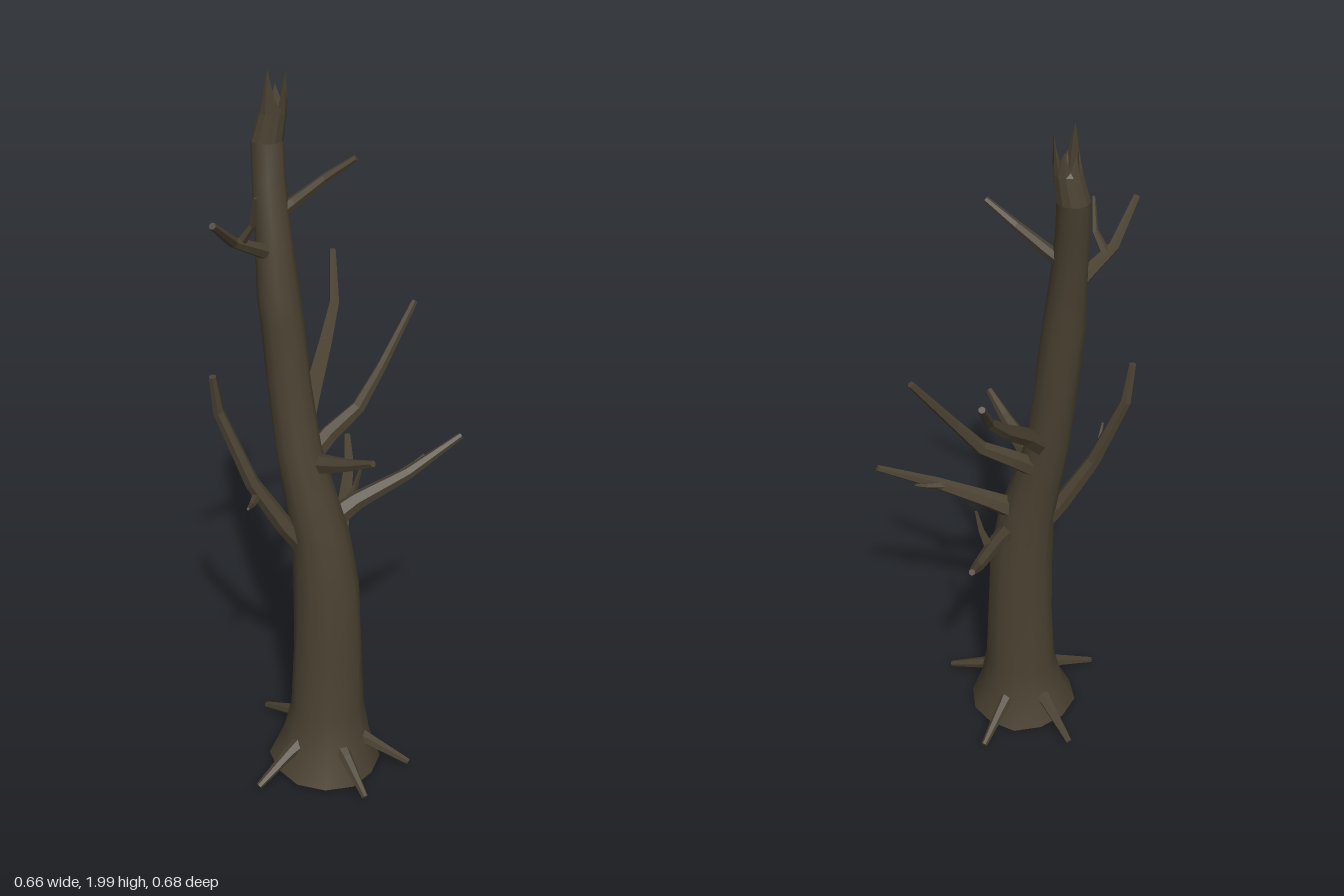
import * as THREE from 'three';

const V = (x, y, z) => new THREE.Vector3(x, y, z);

// Skin a list of equal-sized rings, with optional end caps
function loft(rings, { flat = false, bottom = true, top = true } = {}) {
  const n = rings[0].length, pos = [], idx = [];
  rings.forEach(r => r.forEach(p => pos.push(p.x, p.y, p.z)));
  for (let r = 0; r < rings.length - 1; r++) {
    for (let i = 0; i < n; i++) {
      const j = (i + 1) % n, a = r * n + i, b = r * n + j;
      idx.push(a, b, b + n, a, b + n, a + n);
    }
  }
  const cap = (ring, flip) => {
    const start = pos.length / 3, c = V(0, 0, 0);
    ring.forEach(p => { pos.push(p.x, p.y, p.z); c.addScaledVector(p, 1 / n); });
    pos.push(c.x, c.y, c.z);
    for (let i = 0; i < n; i++) {
      const a = start + i, b = start + (i + 1) % n;
      idx.push(start + n, flip ? b : a, flip ? a : b);
    }
  };
  if (bottom) cap(rings[0], true);
  if (top) cap(rings[rings.length - 1], false);
  let g = new THREE.BufferGeometry();
  g.setAttribute('position', new THREE.Float32BufferAttribute(pos, 3));
  g.setIndex(idx);
  if (flat) g = g.toNonIndexed();
  g.computeVertexNormals();
  return g;
}

// Tapered six-sided limb through a few points
function limb(points, r0, r1, sides = 6) {
  const p = points.map(a => V(...a)), last = p.length - 1;
  const dir = p[last].clone().sub(p[0]).normalize();
  const base = new THREE.Quaternion().setFromUnitVectors(V(0, 1, 0), dir);
  const rings = p.map((c, k) => {
    const t = p[Math.min(k + 1, last)].clone().sub(p[Math.max(k - 1, 0)]).normalize();
    const q = new THREE.Quaternion().setFromUnitVectors(dir, t).multiply(base);
    const r = r0 + (r1 - r0) * k / last;
    return Array.from({ length: sides }, (_, i) => {
      const a = i / sides * Math.PI * 2;
      return V(Math.sin(a) * r, 0, Math.cos(a) * r).applyQuaternion(q).add(c);
    });
  });
  return loft(rings, { flat: true });
}

export function createModel() {
  const tree = new THREE.Group();
  tree.name = 'deadTree';
  const bark = new THREE.MeshStandardMaterial({ color: 0x4a4131 });
  bark.name = 'bark';
  const add = (name, geo) => {
    const m = new THREE.Mesh(geo, bark);
    m.name = name;
    tree.add(m);
  };

  // Trunk: leaning, slightly lumpy sections [centre x, y, centre z, radius]
  const SIDES = 12;
  const ring = (x, y, z, r, height = () => 0, wobble = 0) =>
    Array.from({ length: SIDES }, (_, i) => {
      const a = i / SIDES * Math.PI * 2;
      const rr = r * (1 + wobble * Math.sin(i * 2.3 + y * 9));
      return V(x + Math.sin(a) * rr, y + height(i, a), z + Math.cos(a) * rr);
    });
  const sections = [
    [-0.05, 0.012, 0.122, 0.157], [-0.047, 0.1, 0.117, 0.122], [-0.043, 0.2, 0.11, 0.103],
    [-0.04, 0.4, 0.105, 0.096], [-0.042, 0.6, 0.1, 0.089], [-0.058, 0.76, 0.092, 0.077],
    [-0.085, 0.88, 0.083, 0.069], [-0.115, 1.02, 0.067, 0.061], [-0.136, 1.2, 0.043, 0.057],
    [-0.15, 1.36, 0.032, 0.055], [-0.158, 1.43, 0.026, 0.054], [-0.17, 1.6, 0.003, 0.045],
    [-0.178, 1.72, -0.025, 0.042], [-0.18, 1.81, -0.042, 0.041],
  ];
  const trunk = sections.map(([x, y, z, r], k) =>
    ring(x, y, z, r, (i, a) => k ? 0 : -0.008 * Math.sin(a), 0.025));
  add('trunk', loft(trunk, { top: false }));

  // Snapped crown: jagged rim with a hollow inside
  const jag = [1.92, 1.89, 1.93, 1.91, 1.975, 1.90, 1.94, 1.89, 1.93, 1.90, 1.925, 1.99];
  add('brokenTop', loft([
    trunk[trunk.length - 1],
    ring(-0.165, 1.88, -0.041, 0.035),
    ring(-0.159, 0, -0.038, 0.031, i => jag[i]),
    ring(-0.164, 1.87, -0.041, 0.02),
  ], { flat: true, bottom: false }));

  // Branches: path, base radius, tip radius
  const branches = [
    [[[-0.1, 1.05, 0.03], [-0.075, 1.12, -0.04], [-0.04, 1.21, -0.15], [-0.015, 1.29, -0.23], [-0.018, 1.4, -0.333]], 0.03, 0.009],
    [[[-0.01, 0.71, 0.06], [0.005, 0.745, -0.03], [0.025, 0.795, -0.2], [0.022, 0.848, -0.283]], 0.028, 0.009],
    [[[-0.1, 0.95, 0.05], [-0.03, 1.015, 0.0], [0.045, 1.07, -0.04], [0.105, 1.165, -0.08], [0.197, 1.327, -0.155]], 0.03, 0.009],
    [[[-0.04, 0.78, 0.075], [0.04, 0.83, 0.045], [0.18, 0.895, 0.01], [0.325, 0.973, -0.053]], 0.034, 0.009],
    [[[-0.09, 0.71, 0.1], [-0.155, 0.8, 0.115], [-0.235, 0.94, 0.13], [-0.315, 1.15, 0.125], [-0.325, 1.258, 0.14]], 0.03, 0.01],
    [[[-0.165, 1.53, 0.01], [-0.2, 1.56, 0.05], [-0.262, 1.61, 0.12], [-0.302, 1.695, 0.23]], 0.025, 0.009],
    [[[-0.17, 1.62, -0.012], [-0.115, 1.66, -0.015], [-0.04, 1.72, -0.015], [0.035, 1.775, -0.004]], 0.02, 0.008],
    [[[-0.1, 0.955, 0.05], [-0.03, 0.99, 0.125], [0.02, 1.02, 0.18], [0.075, 1.06, 0.24]], 0.032, 0.009],
  ];
  branches.forEach(([path, r0, r1], i) => add('branch' + (i + 1), limb(path, r0, r1)));

  // Thin twigs growing from the branches
  const twigs = [
    [[0.02, 0.76, -0.07], [0.04, 0.81, -0.068], [0.055, 0.87, -0.062]],
    [[0.16, 0.89, 0.01], [0.2, 0.905, -0.02], [0.225, 0.92, -0.042]],
    [[-0.225, 0.9, 0.13], [-0.235, 0.915, 0.2], [-0.24, 0.957, 0.283]],
    [[-0.245, 1.6, 0.1], [-0.215, 1.65, 0.115], [-0.205, 1.73, 0.145]],
  ];
  twigs.forEach((path, i) => add('twig' + (i + 1), limb(path, 0.013, 0.004, 5)));

  // Short roots radiating from the flared base, given by their tips
  const cx = -0.05, cz = 0.12;
  const tips = [[0.188, 0.188], [0.06, 0.332], [-0.237, 0.283], [-0.222, -0.072], [0.025, -0.13]];
  tips.forEach(([x, z], i) => {
    const d = Math.hypot(x - cx, z - cz), ux = (x - cx) / d, uz = (z - cz) / d;
    const at = (r, y) => [cx + ux * r, y, cz + uz * r];
    add('root' + (i + 1), limb([at(0.08, 0.11), at(0.13, 0.092), at(d, 0.035)], 0.027, 0.009));
  });

  return tree;
}
